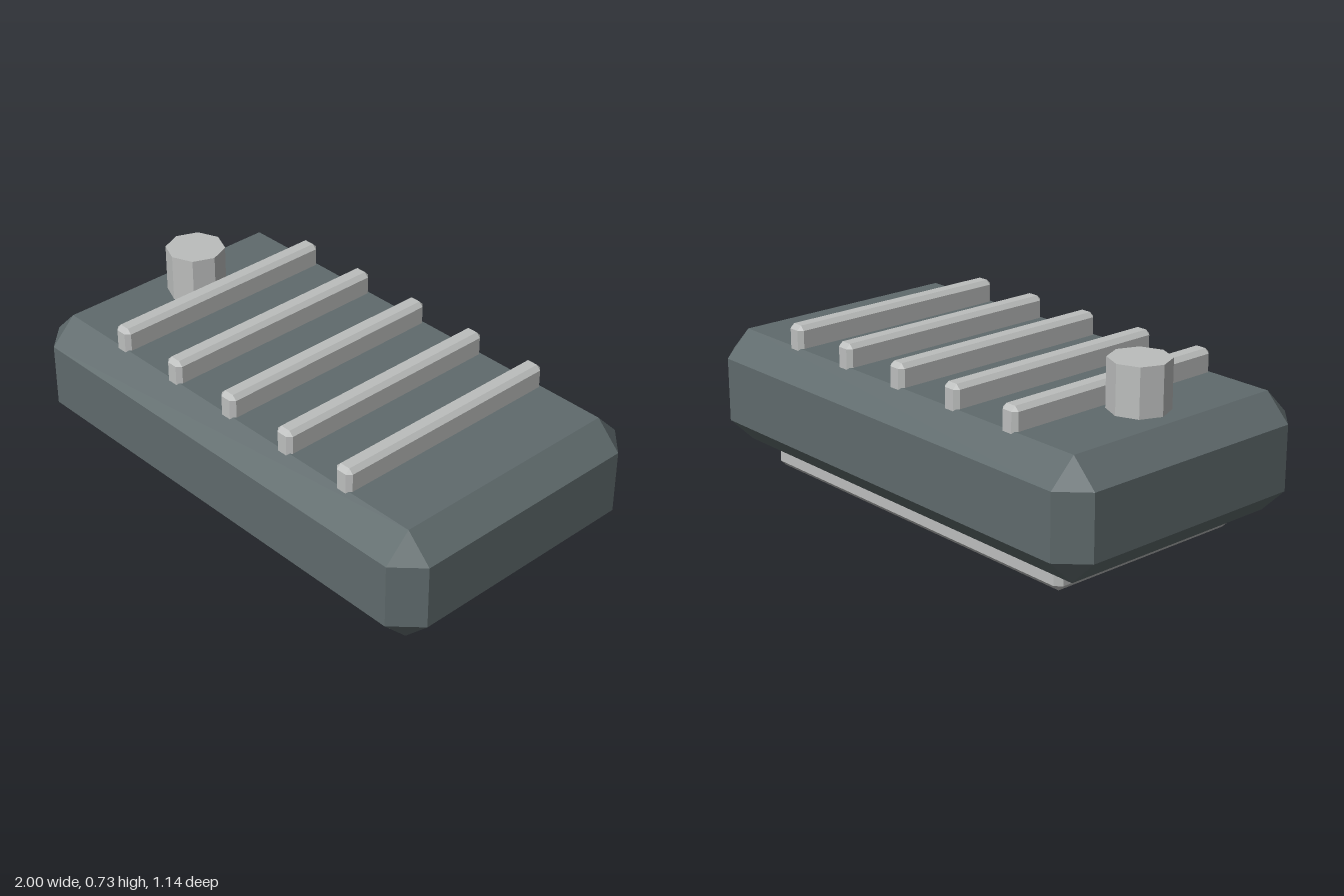
import * as THREE from 'three';
import { ConvexGeometry } from 'three/addons/geometries/ConvexGeometry.js';

// Box with every edge and corner cut flat, spanning y0 to y1
function chamferedBox(width, depth, y0, y1, c) {
  const hx = width / 2, hy = (y1 - y0) / 2, hz = depth / 2;
  const points = [];
  for (const sx of [-1, 1]) for (const sy of [-1, 1]) for (const sz of [-1, 1]) {
    points.push(
      new THREE.Vector3(sx * hx, sy * (hy - c), sz * (hz - c)),
      new THREE.Vector3(sx * (hx - c), sy * hy, sz * (hz - c)),
      new THREE.Vector3(sx * (hx - c), sy * (hy - c), sz * hz)
    );
  }
  return new ConvexGeometry(points).translate(0, (y0 + y1) / 2, 0);
}

export function createModel() {
  const model = new THREE.Group();
  model.name = 'ribbedBox';

  const slate = new THREE.MeshStandardMaterial({ color: 0x5f6a6c, flatShading: true });
  slate.name = 'slate grey';
  const pale = new THREE.MeshStandardMaterial({ color: 0xbcbebd, flatShading: true });
  pale.name = 'pale grey';

  const add = (name, geometry, material, x = 0, y = 0) => {
    const mesh = new THREE.Mesh(geometry, material);
    mesh.name = name;
    mesh.position.set(x, y, 0);
    model.add(mesh);
  };

  // Main body and the plate it stands on
  add('body', chamferedBox(2, 1.138, 0.09, 0.54, 0.1), slate);
  add('basePlate', chamferedBox(1.59, 0.86, 0, 0.13, 0.023), pale);

  // Five ribs across the top
  const rib = chamferedBox(0.076, 0.954, 0.5, 0.627, 0.017);
  for (let i = -2; i <= 2; i++) add('rib' + (i + 3), rib, pale, i * 0.295);

  // Eight-sided knob on the right end
  add('knob', new THREE.CylinderGeometry(0.114, 0.114, 0.215, 8), pale, -0.731, 0.6175);

  return model;
}
